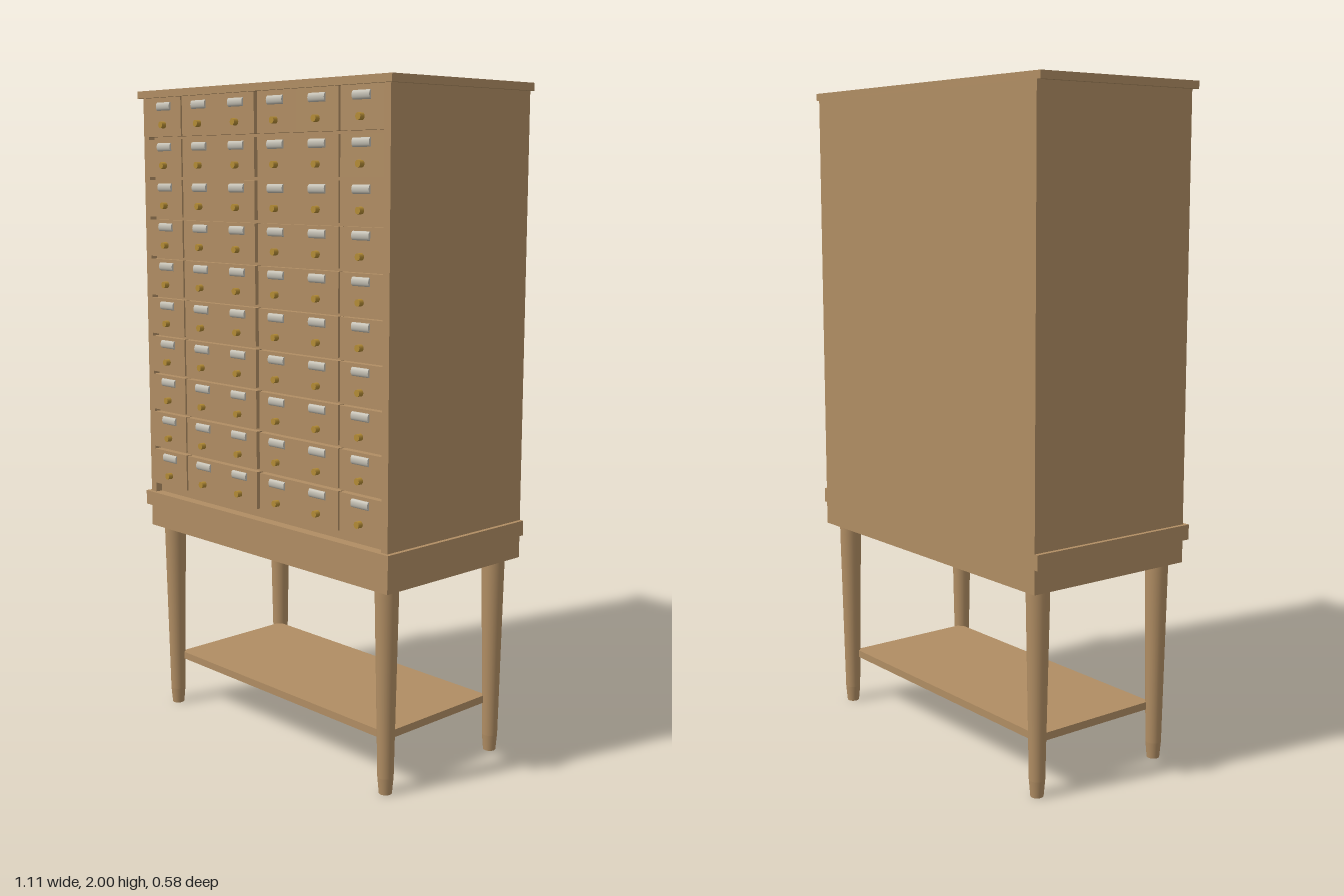
import * as THREE from 'three';

export function createModel() {
  const group = new THREE.Group();
  const material = (name, color) => {
    const m = new THREE.MeshStandardMaterial({ color });
    m.name = name;
    return m;
  };
  const wood = material('wood', 0xb08d63);
  const brass = material('brass', 0xb38b35);
  const paper = material('label grey', 0xc3bfb3);

  const add = (name, geometry, mat, x = 0, y = 0, z = 0, parent = group) => {
    const mesh = new THREE.Mesh(geometry, mat);
    mesh.name = name;
    mesh.position.set(x, y, z);
    parent.add(mesh);
    return mesh;
  };
  // Box given by its limits on each axis
  const box = (name, x0, x1, y0, y1, z0, z1, parent = group) =>
    add(name, new THREE.BoxGeometry(x1 - x0, y1 - y0, z1 - z0), wood,
      (x0 + x1) / 2, (y0 + y1) / 2, (z0 + z1) / 2, parent);

  const back = -0.291, face = 0.275, recess = 0.253;

  // Case, top and base
  box('top', -0.555, 0.555, 1.978, 2, back, 0.287);
  box('caseCore', -0.54, 0.54, 0.725, 1.978, back, recess);
  box('waistMoulding', -0.553, 0.553, 0.68, 0.725, back, 0.287);
  box('apron', -0.54, 0.54, 0.61, 0.68, back, face);
  for (const s of [-1, 1]) {
    const x = s * 0.5275;
    box('frontStile', x - 0.0125, x + 0.0125, 0.725, 1.978, recess, face);
  }

  // Drawers: limits of the three columns on the left half, mirrored to the right
  const columns = [[0.007, 0.1735], [0.1735, 0.344], [0.351, 0.515]];
  const rows = 10, pitch = 0.1228, gap = 0.009;
  const knobGeo = new THREE.CylinderGeometry(0.010, 0.010, 0.016, 12).rotateX(Math.PI / 2);
  const labelGeo = new THREE.CylinderGeometry(0.0125, 0.0125, 0.066, 10, 1, false, -Math.PI / 2, Math.PI)
    .rotateZ(Math.PI / 2).scale(1, 1, 0.55);

  for (let row = 0; row < rows; row++) {
    const top = 1.978 - row * pitch - (row ? gap / 2 : 0);
    const bottom = row === rows - 1 ? 0.755 : 1.978 - (row + 1) * pitch + gap / 2;
    for (const s of [-1, 1]) {
      columns.forEach(([a, b], i) => {
        const drawer = new THREE.Group();
        drawer.name = 'drawer';
        group.add(drawer);
        box('drawerFront', Math.min(s * a, s * b), Math.max(s * a, s * b), bottom, top, recess, face, drawer);
        const x = s * (0.0868 + i * 0.1735);
        add('labelHolder', labelGeo, paper, x, 1.951 - row * pitch, face, drawer);
        add('knob', knobGeo, brass, x, 1.895 - row * pitch, face + 0.008, drawer);
      });
    }
  }

  // Tapered round legs
  const profile = [[0, 0], [0.019, 0], [0.019, 0], [0.0235, 0.05], [0.0235, 0.05], [0.034, 0.58], [0.034, 0.615]]
    .map(([r, y]) => new THREE.Vector2(r, y));
  const legGeo = new THREE.LatheGeometry(profile, 24);
  for (const x of [-0.487, 0.487]) {
    for (const z of [-0.235, 0.222]) add('leg', legGeo, wood, x, 0, z);
  }

  // Low shelf between the legs
  box('shelf', -0.478, 0.478, 0.152, 0.175, -0.225, 0.212);

  return group;
}
